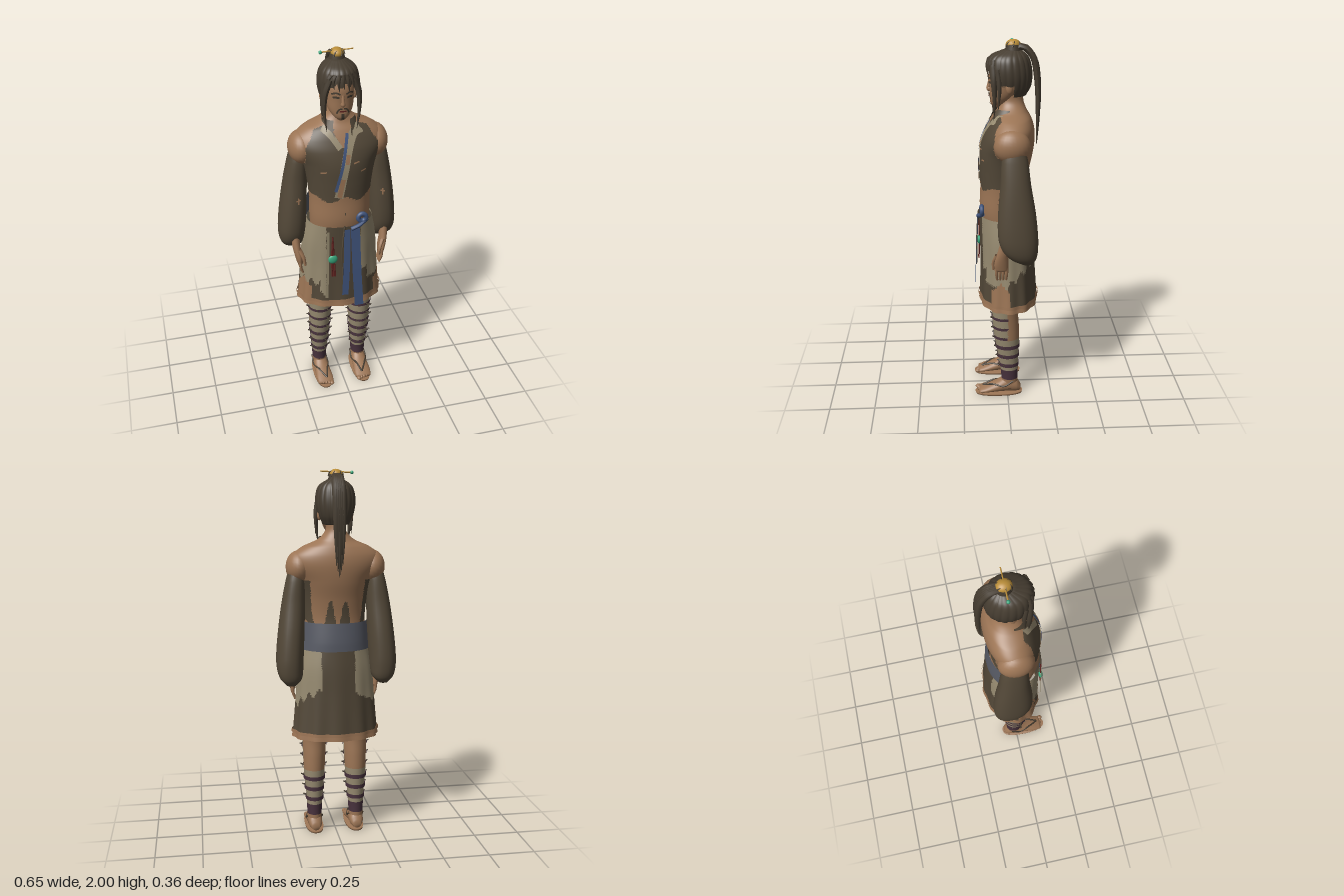
import * as THREE from 'three';

const paint = (name, color) => {
  const m = new THREE.MeshStandardMaterial({ color, side: THREE.DoubleSide });
  m.name = name;
  return m;
};

// Smooth cross-section [cx, zFront, zBack, rx] at height y of a section table [y, ...]
function at(S, y) {
  let i = 0;
  while (i < S.length - 2 && y > S[i + 1][0]) i++;
  const h = S[i + 1][0] - S[i][0], f = (y - S[i][0]) / h;
  const slope = (k, c) => {
    const a = S[Math.max(k - 1, 0)], b = S[Math.min(k + 1, S.length - 1)];
    return (b[c] - a[c]) / (b[0] - a[0]);
  };
  return [1, 2, 3, 4].map(c => {
    const f2 = f * f, f3 = f2 * f;
    return (2 * f3 - 3 * f2 + 1) * S[i][c] + (f3 - 2 * f2 + f) * h * slope(i, c)
      + (3 * f2 - 2 * f3) * S[i + 1][c] + (f3 - f2) * h * slope(i + 1, c);
  });
}

// Body of stacked rounded rings; pick(x, y, z) chooses each face's material, null leaves a hole
function loft(S, pick, { n = 32, k = 4, p = 2, cap = true, wave = () => 1 } = {}) {
  const choose = pick.isMaterial ? () => pick : pick;
  const pos = [], faces = new Map(), rows = (S.length - 1) * k;
  for (let i = 0; i <= rows; i++) {
    const s = Math.min(Math.floor(i / k), S.length - 2);
    const y = S[s][0] + (S[s + 1][0] - S[s][0]) * (i / k - s);
    const [cx, zf, zb, rx] = at(S, y);
    for (let j = 0; j < n; j++) {
      const t = j / n * Math.PI * 2, w = wave(t, y), sn = Math.sin(t), cs = Math.cos(t);
      const bend = v => Math.sign(v) * Math.abs(v) ** (2 / p) * w;
      pos.push(cx + rx * bend(sn), y, (zf + zb) / 2 + (zf - zb) / 2 * bend(cs));
    }
  }
  for (const s of [S[0], S[S.length - 1]]) pos.push(s[1], s[0], (s[2] + s[3]) / 2);
  const tri = (...v) => {
    const m = choose(...[0, 1, 2].map(c => v.reduce((sum, q) => sum + pos[q * 3 + c], 0) / 3));
    if (!m) return;
    if (!faces.has(m)) faces.set(m, []);
    faces.get(m).push(...v);
  };
  for (let j = 0; j < n; j++) {
    const q = (j + 1) % n, top = rows * n;
    for (let i = 0; i < top; i += n) {
      tri(i + j, i + q, i + n + q);
      tri(i + j, i + n + q, i + n + j);
    }
    if (cap) {
      tri(top + n, q, j);
      tri(top + n + 1, top + j, top + q);
    }
  }
  const g = new THREE.BufferGeometry(), index = [], mats = [...faces.keys()];
  mats.forEach((m, i) => {
    g.addGroup(index.length, faces.get(m).length, i);
    for (const v of faces.get(m)) index.push(v);
  });
  g.setAttribute('position', new THREE.Float32BufferAttribute(pos, 3));
  g.setIndex(index);
  g.computeVertexNormals();
  return new THREE.Mesh(g, mats);
}

const curve = pts => new THREE.CatmullRomCurve3(pts.map(p => new THREE.Vector3(p[0], p[1], p[2] || 0)));

// Tapering tube
function strand(pts, r0, r1, mat, bulge = 0) {
  const c = curve(pts), seg = 18, g = new THREE.TubeGeometry(c, seg, 1, 8), P = g.attributes.position;
  for (let i = 0; i < P.count; i++) {
    const t = Math.floor(i / 9) / seg, o = c.getPointAt(t);
    const r = r0 + (r1 - r0) * t + bulge * Math.sin(Math.PI * t);
    const v = new THREE.Vector3().fromBufferAttribute(P, i).sub(o).multiplyScalar(r).add(o);
    P.setXYZ(i, v.x, v.y, v.z);
  }
  g.computeVertexNormals();
  return new THREE.Mesh(g, mat);
}

// Flat band; laid on the front of a target mesh when one is given
function ribbon(pts, w, mat, target, lift = 0.005) {
  const c = curve(pts), seg = 16, pos = [], idx = [], ray = new THREE.Raycaster();
  for (let i = 0; i <= seg; i++) {
    const o = c.getPointAt(i / seg), t = c.getTangentAt(i / seg);
    const l = Math.hypot(t.x, t.y) || 1;
    for (const e of [-0.5, 0.5]) {
      const x = o.x - t.y / l * w * e, y = o.y + t.x / l * w * e;
      let z = o.z;
      if (target) {
        ray.set(new THREE.Vector3(x, y, 2), new THREE.Vector3(0, 0, -1));
        const hit = ray.intersectObject(target)[0];
        z = hit ? hit.point.z + lift : 0.04;
      }
      pos.push(x, y, z);
    }
    if (i < seg) idx.push(2 * i, 2 * i + 2, 2 * i + 1, 2 * i + 1, 2 * i + 2, 2 * i + 3);
  }
  const g = new THREE.BufferGeometry();
  g.setAttribute('position', new THREE.Float32BufferAttribute(pos, 3));
  g.setIndex(idx);
  g.computeVertexNormals();
  return new THREE.Mesh(g, mat);
}

export function createModel() {
  const root = new THREE.Group();
  const skin = paint('skin', 0x9c7555), brown = paint('brown cloth', 0x534838), beige = paint('beige cloth', 0x968a70);
  const blue = paint('blue sash', 0x40547c), slate = paint('slate belt', 0x565963), plum = paint('plum wrap', 0x48323d);
  const hair = paint('dark hair', 0x463d31), gold = paint('gold', 0xb98d38), jade = paint('jade', 0x38a67c), red = paint('red cord', 0x642522);
  const add = (name, mesh) => { mesh.name = name; root.add(mesh); return mesh; };
  const ball = (name, mat, x, y, z, a, b, c) => {
    const m = add(name, new THREE.Mesh(new THREE.SphereGeometry(1, 24, 16), mat));
    m.position.set(x, y, z);
    m.scale.set(a, b, c);
    return m;
  };

  // Torso with open-backed vest
  const torsoS = [[0.98, 0, 0.12, -0.11, 0.155], [1.1, 0, 0.143, -0.118, 0.163], [1.22, 0, 0.14, -0.11, 0.165],
    [1.32, 0, 0.142, -0.12, 0.176], [1.42, 0, 0.14, -0.14, 0.2], [1.5, 0, 0.122, -0.148, 0.24],
    [1.555, 0, 0.098, -0.143, 0.232], [1.6, 0, 0.073, -0.128, 0.178], [1.635, 0, 0.05, -0.108, 0.1],
    [1.68, 0, 0.035, -0.09, 0.056], [1.74, 0, 0.03, -0.085, 0.053]];
  const torso = add('torso', loft(torsoS, (x, y, z) => {
    const a = Math.abs(x);
    if (y > 1.52 && a < (y - 1.5) * 0.5) return skin;
    if (y > 1.43 && a > 0.19 - Math.max(0, y - 1.52) * 0.6) return skin;
    if (z > 0.01 + Math.max(0, y - 1.5) * 0.2) return y > 1.235 + 0.015 * Math.cos(x * 40) && y < 1.62 ? brown : skin;
    if (y > 1.2 && a > 0.135 + Math.max(0, -z - 0.06) * 0.3 && y < 1.43) return brown;
    return z < 0 && y > 1.15 && y < 1.2 + 0.12 * Math.max(0, Math.cos((a - 0.04) * 55)) && a < 0.15 ? brown : skin;
  }, { n: 112, k: 10, p: 2.1 }));
  add('standingCollar', loft([[1.575, 0, 0.098, -0.1, 0.12], [1.65, 0, 0.062, -0.09, 0.085]],
    (x, y, z) => z > -0.01 && Math.abs(x) > 0.045 ? brown : null, { n: 64, cap: false }));
  add('collarRight', ribbon([[-0.1, 1.615], [-0.065, 1.585], [-0.02, 1.52]], 0.03, beige, torso));
  add('collarLeft', ribbon([[0.105, 1.605], [0.065, 1.595], [0.03, 1.54], [-0.002, 1.42], [-0.035, 1.25]], 0.046, beige, torso));
  add('collarWear', ribbon([[-0.012, 1.36], [-0.022, 1.31], [-0.032, 1.255]], 0.026, skin, torso, 0.008));
  add('collarWear', ribbon([[0.018, 1.49], [0.01, 1.44]], 0.02, skin, torso, 0.008));
  add('collarPiping', ribbon([[0.022, 1.59], [0.005, 1.52], [-0.018, 1.42], [-0.052, 1.29]], 0.016, blue, torso, 0.009));
  for (const [x, y] of [[-0.11, 1.395], [0.1, 1.39], [0.06, 1.44]])
    add('vestTear', ribbon([[x - 0.015, y], [x + 0.015, y + 0.006]], 0.008, skin, torso));
  add('navel', ribbon([[0, 1.145], [0, 1.16]], 0.006, brown, torso));

  // Skirt, hem and belt
  const fold = (t, y) => 1 + 0.045 * (1.08 - y) * Math.cos(t * 12);
  add('skirt', loft([[0.56, 0, 0.15, -0.17, 0.236], [0.6, 0, 0.146, -0.166, 0.23], [0.8, 0, 0.142, -0.153, 0.214],
    [0.95, 0, 0.145, -0.145, 0.203], [1.075, 0, 0.15, -0.132, 0.178]], (x, y, z) => {
    const a = Math.abs(x), rag = 0.02 * Math.sin(x * 70 + z * 90);
    if (y < 0.6) return skin;
    if (a > 0.16 && z > -0.01 && z < 0.09 && y < 0.73 - Math.abs(z - 0.04)) return skin;
    if (z < 0) return a > 0.09 && y > 0.72 - z * 0.8 + rag ? beige : brown;
    if (x < -0.1) return y > (x < -0.135 ? 0.71 : 0.64) + rag ? beige : brown;
    return x > 0.085 && y > (x < 0.13 ? 0.78 : 0.69) + rag ? beige : brown;
  }, { n: 120, k: 12, p: 2.1, cap: false, wave: fold }));
  add('hemBand', loft([[0.585, 0, 0.153, -0.174, 0.238], [0.602, 0, 0.152, -0.173, 0.237]], skin,
    { n: 120, p: 2.1, cap: false, wave: fold }));
  add('panelEdge', ribbon([[-0.093, 1.05, 0.143], [-0.098, 0.85, 0.147], [-0.104, 0.63, 0.152]], 0.014, beige));
  add('backBelt', loft([[1.05, 0, 0.155, -0.143, 0.188], [1.1, 0, 0.153, -0.14, 0.182], [1.2, 0, 0.15, -0.126, 0.175]],
    (x, y, z) => z < -0.005 ? slate : null, { n: 64, p: 2.1, cap: false }));

  // Sash ribbons, knot and hanging charm
  add('sashRibbon', ribbon([[0.008, 1.06, 0.156], [0.004, 0.85, 0.165], [-0.006, 0.65, 0.172]], 0.036, blue));
  add('sashRibbon', ribbon([[0.052, 1.06, 0.156], [0.06, 0.8, 0.17], [0.073, 0.57, 0.176]], 0.05, blue));
  const knot = add('sashKnot', new THREE.Mesh(new THREE.TorusGeometry(0.021, 0.013, 10, 24), blue));
  knot.position.set(0.094, 1.113, 0.136);
  add('sashTail', strand([[0.03, 1.06, 0.153], [0.075, 1.075, 0.15], [0.125, 1.1, 0.13]], 0.012, 0.01, blue));
  add('thinCord', strand([[-0.005, 1.08, 0.15], [-0.02, 0.95, 0.16], [-0.018, 0.75, 0.165]], 0.005, 0.003, brown));
  for (let i = -1; i <= 1; i++)
    add('tasselCord', strand([[-0.07, 1.02, 0.147], [-0.07 + i * 0.006, 0.9, 0.148], [-0.066 + i * 0.009, 0.77, 0.151]], 0.004, 0.004, red));
  ball('jadeCharm', jade, -0.07, 0.88, 0.148, 0.026, 0.026, 0.012);

  // Head and face
  const head = add('head', loft([[1.655, 0, 0.07, 0.03, 0.018], [1.675, 0, 0.083, 0, 0.04], [1.71, 0, 0.086, -0.04, 0.062],
    [1.76, 0, 0.088, -0.09, 0.075], [1.82, 0, 0.09, -0.11, 0.08], [1.89, 0, 0.07, -0.1, 0.07]], skin, { n: 48, k: 5, p: 2.2 }));
  ball('nose', skin, 0, 1.748, 0.088, 0.012, 0.014, 0.014);
  add('noseBridge', strand([[0, 1.8, 0.084], [0, 1.75, 0.094]], 0.007, 0.01, skin));
  add('mouth', ribbon([[-0.018, 1.711], [0.018, 1.711]], 0.007, red, head));
  add('goatee', ribbon([[0, 1.698], [0, 1.664]], 0.016, hair, head));

  // Hair cap, fringe, topknot and ponytail
  add('hairCap', loft([[1.715, 0, 0.07, -0.1, 0.07], [1.76, 0, 0.09, -0.124, 0.09], [1.82, 0, 0.1, -0.131, 0.103],
    [1.88, 0, 0.098, -0.123, 0.099], [1.92, 0, 0.078, -0.105, 0.08], [1.95, 0, 0.01, -0.07, 0.035]], (x, y, z) => {
    if (z > 0.035 && y < (Math.abs(x) < 0.07 ? 1.85 + 0.012 * Math.sin(x * 150) : 1.8)) return null;
    return z > -0.035 && y < 1.775 ? null : hair;
  }, { n: 144, k: 6, wave: t => 0.985 + 0.045 * Math.sqrt(Math.abs(Math.cos(t * 10))) }));
  for (let i = -3; i <= 3; i++)
    add('fringeLock', strand([[i * 0.018, 1.9, 0.086 - i * i * 0.002], [i * 0.024, 1.87, 0.098 - i * i * 0.003],
      [i * 0.025 + 0.006, 1.828 - (i & 1) * 0.012, 0.098 - i * i * 0.003]], 0.014, 0.001, hair));
  const knotBase = add('topknot', new THREE.Mesh(new THREE.CylinderGeometry(0.036, 0.044, 0.042, 20), hair));
  knotBase.position.set(0, 1.953, -0.035);
  ball('goldCap', gold, 0, 1.972, -0.035, 0.034, 0.028, 0.039);
  for (let i = 0; i < 6; i++) {
    const a = i * Math.PI / 3 + 0.4, p = (r, y, d) => [Math.sin(a + d) * r, y, Math.cos(a + d) * r - 0.035];
    add('topknotWisp', strand([p(0.038, 1.965, 0), p(0.033, 1.984, 0.2), p(0.019, 1.994, 0.6)], 0.005, 0.001, hair));
  }
  add('hairpin', strand([[-0.08, 1.982, -0.033], [0, 1.985, -0.033], [0.083, 1.988, -0.033]], 0.004, 0.003, gold));
  ball('hairpinBead', jade, -0.085, 1.981, -0.033, 0.009, 0.009, 0.009);
  for (let i = -2; i <= 2; i++)
    add('ponytailLock', strand([[i * 0.006, 1.955, -0.045], [i * 0.008, 1.963, -0.085], [i * 0.01, 1.91, -0.137], [i * 0.01, 1.8, -0.16],
      [i * 0.009, 1.62, -0.165], [i * 0.008, 1.45 + Math.abs(i) * 0.03, -0.16]], 0.015, 0.002, hair, 0.007));

  const legS = s => [[0.04, s * 0.118, 0.035, -0.06, 0.038], [0.12, s * 0.118, 0.035, -0.058, 0.041], [0.2, s * 0.117, 0.046, -0.06, 0.045],
    [0.35, s * 0.117, 0.07, -0.066, 0.058], [0.44, s * 0.116, 0.08, -0.064, 0.062], [0.55, s * 0.115, 0.086, -0.058, 0.067],
    [0.75, s * 0.11, 0.09, -0.08, 0.08]];
  for (const s of [-1, 1]) {
    // Facial pairs
    add('eyebrow', ribbon([[s * 0.015, 1.803], [s * 0.035, 1.811], [s * 0.056, 1.803]], 0.009, hair, head));
    add('eye', ribbon([[s * 0.02, 1.785], [s * 0.036, 1.788], [s * 0.05, 1.785]], 0.011, hair, head));
    add('moustache', ribbon([[s * 0.004, 1.726], [s * 0.02, 1.722], [s * 0.032, 1.7]], 0.008, hair, head));
    ball('ear', skin, s * 0.085, 1.765, -0.012, 0.012, 0.03, 0.018);
    add('sideLock', strand([[s * 0.06, 1.88, 0.072], [s * 0.086, 1.8, 0.068], [s * 0.09, 1.7, 0.064], [s * 0.078, 1.6, 0.068]], 0.018, 0.001, hair, 0.003));
    add('sideLock', strand([[s * 0.08, 1.86, 0.05], [s * 0.094, 1.77, 0.04], [s * 0.097, 1.66, 0.045]], 0.015, 0.001, hair, 0.003));

    // Shoulder, sleeve and hand
    ball('shoulder', skin, s * 0.197, 1.492, -0.02, 0.069, 0.088, 0.094);
    const sleeve = add('sleeve', loft([[0.868, s * 0.25, -0.07, -0.125, 0.025], [0.9, s * 0.25, -0.01, -0.145, 0.057], [0.95, s * 0.253, 0.035, -0.153, 0.07],
      [1.02, s * 0.252, 0.055, -0.153, 0.073], [1.15, s * 0.243, 0.055, -0.14, 0.07], [1.3, s * 0.23, 0.042, -0.115, 0.062],
      [1.42, s * 0.218, 0.035, -0.1, 0.05], [1.48, s * 0.21, 0.02, -0.085, 0.042]], brown, { p: 2.3 }));
    add('sleeveTear', ribbon([[s * 0.218, 1.215], [s * 0.242, 1.21]], 0.008, skin, sleeve));
    add('sleeveTear', ribbon([[s * 0.23, 1.228], [s * 0.23, 1.19]], 0.007, skin, sleeve));
    add('hand', loft([[0.82, s * 0.23, 0.072, 0.002, 0.015], [0.86, s * 0.235, 0.076, 0, 0.02], [0.92, s * 0.245, 0.062, 0, 0.022],
      [1, s * 0.25, 0.04, -0.02, 0.025]], skin, { n: 20 }));
    for (let i = 0; i < 4; i++)
      add('finger', strand([[s * 0.232, 0.84, 0.01 + i * 0.018], [s * 0.23, 0.8, 0.01 + i * 0.018], [s * 0.218, 0.762, 0.012 + i * 0.016]], 0.01, 0.006, skin));
    add('thumb', strand([[s * 0.235, 0.91, 0.06], [s * 0.216, 0.865, 0.078], [s * 0.208, 0.82, 0.08]], 0.013, 0.007, skin));

    // Leg with cloth wrap, straps and knots
    const S = legS(s);
    add('leg', loft(S, (x, y, z) => y < 0.16 ? (y > 0.1 ? plum : skin) : y < 0.56 && (y < 0.36 || z > 0) ? beige : skin, { n: 40, k: 8 }));
    for (let i = 0; i < 6; i++) {
      const y = 0.195 + i * 0.06, [cx, zf, zb, rx] = at(S, y), h = i < 3 ? 0.011 : 0.008;
      add('legStrap', loft([-h, h].map(d => [y + d, cx, zf + 0.005, zb - 0.005, rx + 0.005]),
        (px, py, pz) => i < 3 || pz > 0 ? plum : null, { n: 32, k: 1, cap: false }));
      for (const e of [-1, 1]) {
        add('strapKnot', strand([[cx + e * rx * 0.9, y, 0.02], [cx + e * (rx + 0.016), y + 0.008, 0.02]], 0.007, 0.003, hair));
        add('strapKnot', strand([[cx + e * rx * 0.4, y, zf - 0.01], [cx + e * rx * 0.5, y + 0.006, zf + 0.012]], 0.006, 0.003, hair));
      }
    }

    // Foot and sandal
    const foot = add('foot', loft([[-0.075, s * 0.117, -0.014, -0.05, 0.022], [-0.05, s * 0.117, -0.01, -0.09, 0.037], [0, s * 0.117, -0.01, -0.11, 0.041],
      [0.06, s * 0.116, -0.01, -0.075, 0.044], [0.12, s * 0.115, -0.01, -0.05, 0.048], [0.16, s * 0.114, -0.011, -0.034, 0.042]], skin));
    foot.geometry.rotateX(Math.PI / 2);
    for (let i = 0; i < 5; i++)
      ball('toe', skin, s * (0.083 + i * 0.016), 0.022, 0.166 - i * 0.006, i ? 0.009 : 0.013, 0.011, 0.016);
    add('sandalSole', loft([[0, s * 0.115, 0.18, -0.084, 0.049], [0.012, s * 0.115, 0.184, -0.086, 0.051]], skin, { k: 2, p: 2.4 }));
    for (const e of [-1, 1])
      add('sandalStrap', strand([[s * 0.107, 0.043, 0.14], [s * 0.115 + e * 0.025, 0.064, 0.08], [s * 0.117 + e * 0.043, 0.06, 0.02], [s * 0.117 + e * 0.039, 0.09, -0.03]], 0.005, 0.005, hair));
  }
  return root;
}
